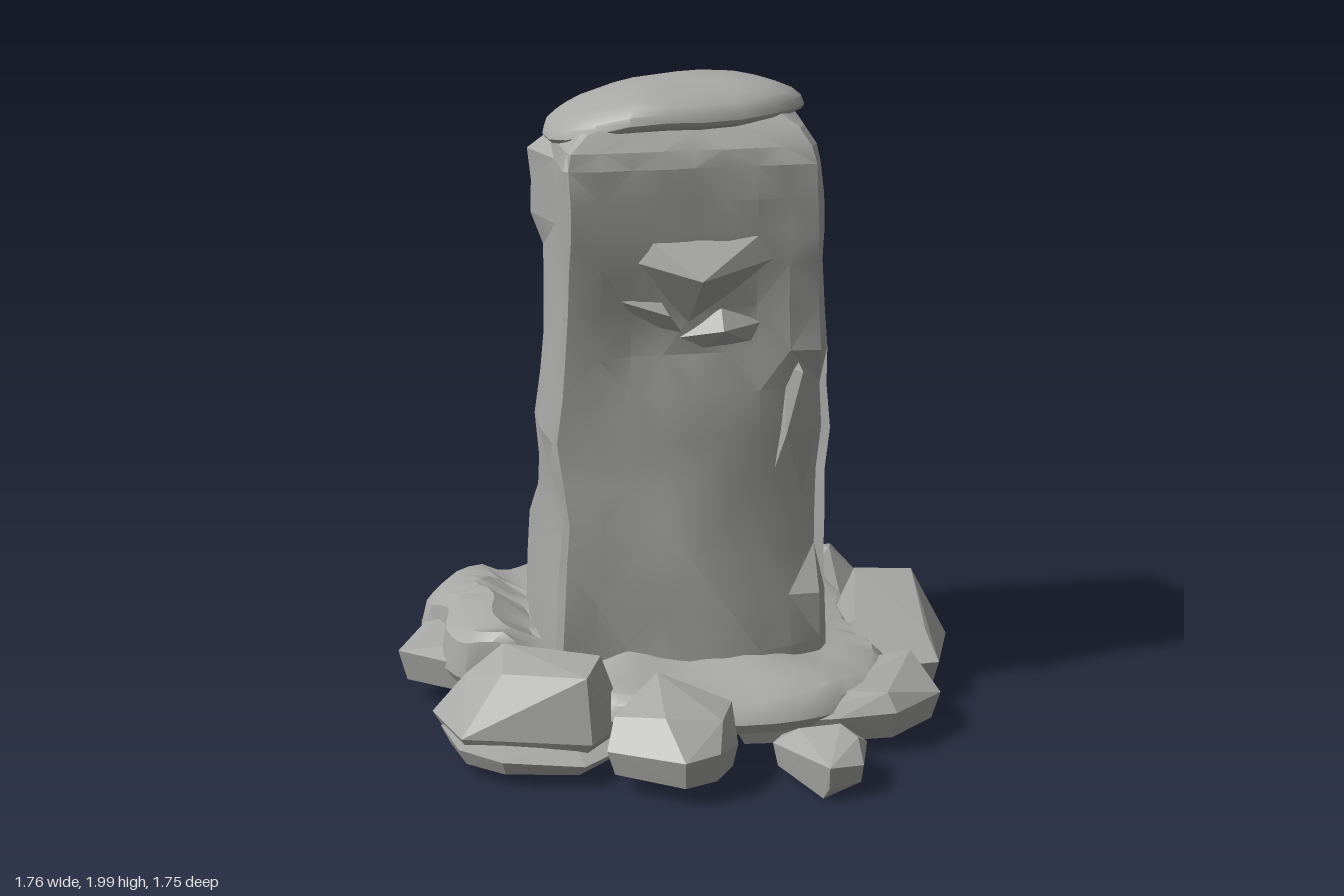
import * as THREE from 'three';
import { toCreasedNormals } from 'three/addons/utils/BufferGeometryUtils.js';
import { ConvexGeometry } from 'three/addons/geometries/ConvexGeometry.js';

const stone = new THREE.MeshStandardMaterial({ color: 0xa8a8a6 });
stone.name = 'grey stone';

// repeatable noise in -1..1
const noise = (a, b) => {
  const s = Math.sin(a * 127.1 + b * 311.7) * 43758.5453;
  return (s - Math.floor(s)) * 2 - 1;
};
const V = (x, y, z) => new THREE.Vector3(x, y, z);

function addMesh(group, name, geometry) {
  const mesh = new THREE.Mesh(geometry, stone);
  mesh.name = name;
  group.add(mesh);
}

// closed skin over rings of points that run front, right, back, left
function loft(rings, crease) {
  const n = rings[0].length, pos = [], idx = [];
  rings.flat().forEach((p) => pos.push(p.x, p.y, p.z));
  const centre = (ring) => {
    const c = V(0, 0, 0);
    ring.forEach((p) => c.add(p));
    c.divideScalar(n);
    pos.push(c.x, c.y, c.z);
    return pos.length / 3 - 1;
  };
  const last = (rings.length - 1) * n;
  const bottom = centre(rings[0]), top = centre(rings[rings.length - 1]);
  for (let j = 0; j < n; j++) {
    const k = (j + 1) % n;
    for (let i = 0; i < last; i += n) {
      const a = i + j, b = i + k, c = b + n, d = a + n;
      if ((i / n + j) % 2) idx.push(a, b, c, a, c, d);
      else idx.push(a, b, d, b, c, d);
    }
    idx.push(bottom, k, j, top, last + j, last + k);
  }
  const g = new THREE.BufferGeometry();
  g.setAttribute('position', new THREE.Float32BufferAttribute(pos, 3));
  g.setIndex(idx);
  return toCreasedNormals(g, crease);
}

// rough-hewn column: height, left x, right x, front z, back z
function pillarGeometry() {
  const levels = [
    [0.12, -0.46, 0.46, 0.25, -0.29], [0.27, -0.455, 0.455, 0.25, -0.29],
    [0.42, -0.445, 0.45, 0.25, -0.285], [0.56, -0.435, 0.445, 0.245, -0.275],
    [0.68, -0.425, 0.445, 0.24, -0.27], [0.8, -0.415, 0.45, 0.235, -0.265],
    [0.94, -0.435, 0.465, 0.235, -0.265], [1.08, -0.415, 0.455, 0.235, -0.265],
    [1.2, -0.405, 0.445, 0.235, -0.255], [1.34, -0.395, 0.435, 0.24, -0.245],
    [1.48, -0.39, 0.43, 0.25, -0.265], [1.58, -0.385, 0.425, 0.26, -0.29],
    [1.68, -0.385, 0.42, 0.265, -0.285], [1.78, -0.39, 0.415, 0.265, -0.28],
    [1.83, -0.38, 0.4, 0.25, -0.25], [1.88, -0.32, 0.365, 0.215, -0.21], [1.92, -0.2, 0.3, 0.17, -0.17],
  ];
  const across = [-0.97, -0.72, -0.48, -0.24, 0, 0.24, 0.48, 0.72, 0.95], along = [0.86, 0.3, -0.3, -0.92];
  const outline = [
    ...across.map((u) => [u, 1]), ...along.map((v) => [1, v]),
    ...across.map((u) => [-u, -1]), ...along.map((v) => [-1, -v]),
  ];
  const rings = levels.map(([y, xl, xr, zf, zb], i) => outline.map(([u, v], j) => {
    let x = (xl + xr) / 2 + u * (xr - xl) / 2;
    let z = (zf + zb) / 2 + v * (zf - zb) / 2;
    const rough = 0.007 * noise(i + 1, j + 3);
    // edges drawn in unevenly: front left most at the foot, back edges most at the top
    if (v > 0) x *= u < 0 && y < 0.7 ? 1 - 0.11 * v : 1 - 0.05 * v;
    if (v < -0.8) x *= u > 0 ? (y > 0.6 ? 0.9 : 0.94) : (y > 0.6 ? 0.94 : 1);
    if (v === 1) {
      // buttress swelling out at the foot, and the chipped front right edge
      const ridge = THREE.MathUtils.clamp(0.2 - 0.55 * (y - 0.25), -0.02, 0.2);
      const side = (x - ridge) / (x > ridge ? 0.2 : 0.4);
      z += Math.max(0, 1 - side * side) * Math.max(0, 0.085 - 0.11 * Math.max(0, y - 0.35));
      if (u > 0.6 && y > 0.5 && y < 1.15) z -= u > 0.8 ? 0.06 : 0.02;
      // hollow under the ledge
      if (Math.abs(u) < 0.6 && y > 1.15 && y < 1.45) z -= 0.02;
      z += rough;
    } else if (v === -1) {
      // scoop out of the back, rising to a peak
      const s = 1 - Math.abs(x / 0.37) ** 1.6 - Math.abs((y - 1.05) / 0.62) ** 2;
      z += 0.1 * Math.min(1, 1.5 * Math.max(0, s)) + rough * 0.5;
    } else x += rough;
    // shoulder bulging from the left side, towards the back
    if (u === -1 && v === -0.3 && y > 1.55 && y < 1.8) x -= 0.045;
    return V(x, y, z);
  }));
  return loft(rings, 0.3);
}

// spread of smooth rubble around the foot
function moundGeometry() {
  const outline = [
    [-0.58, 0.21], [-0.46, 0.32], [-0.34, 0.48], [-0.12, 0.57], [0.2, 0.61], [0.42, 0.55], [0.58, 0.4],
    [0.64, 0.22], [0.58, 0.02], [0.61, -0.3], [0.5, -0.46], [0.2, -0.56], [0.02, -0.69], [-0.15, -0.73],
    [-0.3, -0.69], [-0.36, -0.54], [-0.52, -0.44], [-0.68, -0.43], [-0.79, -0.32], [-0.73, -0.15], [-0.75, 0], [-0.69, 0.14],
  ];
  const curve = new THREE.CatmullRomCurve3(outline.map(([x, z]) => V(x, 0, z)), true);
  const points = curve.getPoints(66).slice(0, 66);
  const rings = [[0.5, 0.12], [0.86, 0.1], [0.97, 0.12], [1, 0.155], [0.975, 0.19], [0.92, 0.215], [0.78, 0.225],
    [0.63, 0.24], [0.48, 0.265]].map(([s, y], i) => points.map((p, j) => {
    const swell = 0.01 * Math.sin(j * 0.75 + i * 0.5) + 0.003 * noise(i, j);
    // higher at the back and left
    const rise = 0.1 * THREE.MathUtils.smoothstep(Math.max(-p.x * s - 0.12, -p.z * s), 0.3, 0.47)
      * (1 - 0.5 * THREE.MathUtils.smoothstep(Math.max(-p.x * s - 0.12, -p.z * s), 0.5, 0.72));
    return V(p.x * s, y + (i > 3 ? swell + rise : 0), p.z * s);
  }));
  return loft(rings, 0.6);
}

// lopsided domed cap stone
function capGeometry() {
  const g = new THREE.SphereGeometry(1, 22, 12);
  const p = g.attributes.position;
  const square = (t, e) => Math.sign(t) * Math.abs(t) ** e;
  for (let i = 0; i < p.count; i++) {
    const x = p.getX(i), y = p.getY(i), z = p.getZ(i);
    const a = Math.atan2(z, x), r = Math.hypot(x, z);
    // fatten the rim and square off the plan slightly
    const grow = (r > 1e-4 ? r ** 0.7 / r : 1) * (1 + 0.03 * Math.sin(2 * a) ** 2);
    const px = x * grow, pz = z * grow;
    const droop = px < -0.3 ? 0.07 * (px + 0.3) : px > 0.6 ? -0.05 * (px - 0.6) : 0;
    p.setXYZ(i, -0.01 + 0.395 * px,
      1.912 + 0.02 * px + droop + (y > 0 ? 0.082 : 0.045) * square(y, 0.9) + 0.007 * Math.sin(4 * a) * r,
      0.012 + 0.243 * pz);
  }
  g.deleteAttribute('uv');
  g.deleteAttribute('normal');
  return toCreasedNormals(g, 0.6);
}

// faceted boulder: footprint [x, z], base height, waist height, top points [x, y, z]
function rockGeometry(foot, low, waist, top) {
  const c = foot.reduce((s, [x, z]) => [s[0] + x / foot.length, s[1] + z / foot.length], [0, 0]);
  const pts = top.map((t) => V(...t));
  foot.forEach(([x, z], i) => {
    pts.push(V(x, waist + 0.015 * noise(i, x), z));
    pts.push(V(c[0] + (x - c[0]) * 0.9, low, c[1] + (z - c[1]) * 0.9));
  });
  return new ConvexGeometry(pts);
}

export function createModel() {
  const model = new THREE.Group();
  model.name = 'stonePillar';
  addMesh(model, 'pillar', pillarGeometry());
  addMesh(model, 'capStone', capGeometry());
  addMesh(model, 'rubbleMound', moundGeometry());

  // broken ledges and chips standing out of the column
  const chips = {
    frontLedge: [[-0.17, 1.5, 0.24], [0.28, 1.5, 0.24], [0.02, 1.46, 0.355], [0, 1.3, 0.22],
      [-0.12, 1.565, 0.25], [0.21, 1.57, 0.25], [0, 1.45, 0.18]],
    leftBrow: [[-0.25, 1.39, 0.22], [-0.02, 1.27, 0.22], [-0.06, 1.33, 0.25], [-0.1, 1.27, 0.2], [-0.1, 1.4, 0.2]],
    smallLedge: [[-0.05, 1.25, 0.21], [0.23, 1.29, 0.21], [0.1, 1.28, 0.265], [0.04, 1.21, 0.21],
      [0.2, 1.23, 0.21], [0.1, 1.34, 0.22]],
    frontChip: [[0.24, 0.72, 0.2], [0.3, 1.14, 0.2], [0.35, 1.13, 0.23], [0.3, 0.94, 0.24],
      [0.4, 0.94, 0.21], [0.36, 0.72, 0.2], [0.33, 1.18, 0.2]],
    backShard: [[0.06, 1.84, -0.22], [0.12, 1.84, -0.22], [0.09, 1.8, -0.25], [0.08, 1.85, -0.31]],
  };
  for (const [name, pts] of Object.entries(chips)) {
    addMesh(model, name, new ConvexGeometry(pts.map((p) => V(...p))));
  }

  // fallen boulders around the base
  const rocks = {
    frontLeftRock: [[[-0.8, 0.29], [-0.62, 0.19], [-0.4, 0.25], [-0.23, 0.46], [-0.35, 0.6], [-0.73, 0.5]], 0.08, 0.12,
      [[-0.58, 0.33, 0.28], [-0.3, 0.33, 0.42], [-0.36, 0.32, 0.56], [-0.6, 0.3, 0.44], [-0.7, 0.25, 0.31]]],
    frontLeftSlab: [[[-0.78, 0.35], [-0.35, 0.15], [-0.2, 0.5], [-0.38, 0.66], [-0.62, 0.62], [-0.74, 0.52]], 0.05, 0.09,
      [[-0.6, 0.11, 0.5], [-0.4, 0.11, 0.5]]],
    frontRock: [[[-0.32, 0.7], [-0.22, 0.45], [0.08, 0.52], [0.07, 0.7], [0, 0.8], [-0.11, 0.84]], 0.07, 0.15,
      [[-0.14, 0.3, 0.5], [-0.29, 0.23, 0.64], [-0.15, 0.25, 0.72], [0.02, 0.23, 0.72], [0.07, 0.23, 0.59]]],
    frontPebble: [[[0.18, 0.67], [0.22, 0.61], [0.41, 0.6], [0.46, 0.7], [0.42, 0.83], [0.31, 0.87]], 0.05, 0.11,
      [[0.26, 0.16, 0.66], [0.38, 0.18, 0.69], [0.42, 0.16, 0.75], [0.3, 0.01, 0.83], [0.42, 0.04, 0.8]]],
    frontRightRock: [[[0.08, 0.55], [0.25, 0.2], [0.64, 0.2], [0.72, 0.24], [0.75, 0.45], [0.58, 0.58], [0.4, 0.58]], 0.06, 0.14,
      [[0.4, 0.2, 0.5], [0.58, 0.2, 0.42], [0.7, 0.21, 0.26], [0.56, 0.2, 0.54]]],
    rightRock: [[[0.52, -0.1], [0.6, -0.31], [0.8, -0.32], [0.88, 0.02], [0.8, 0.24], [0.55, 0.25]], 0.07, 0.16,
      [[0.6, 0.35, -0.1], [0.79, 0.335, -0.1], [0.56, 0.25, 0.1], [0.78, 0.22, 0.14], [0.62, 0.26, -0.24]]],
    backRightRock: [[[0.25, -0.4], [0.43, -0.7], [0.67, -0.73], [0.74, -0.46], [0.61, -0.32], [0.4, -0.28]], 0.07, 0.14,
      [[0.5, 0.27, -0.5], [0.6, 0.28, -0.47], [0.42, 0.22, -0.64], [0.65, 0.21, -0.67]]],
    backRock: [[[-0.36, -0.5], [-0.27, -0.74], [-0.05, -0.88], [0.19, -0.88], [0.36, -0.55], [0, -0.3]], 0.07, 0.12,
      [[-0.2, 0.25, -0.5], [0.1, 0.26, -0.5], [0.18, 0.29, -0.67], [-0.24, 0.27, -0.69], [0, 0.29, -0.73]]],
    backLeftRock: [[[-0.66, -0.53], [-0.42, -0.4], [-0.4, -0.2], [-0.79, -0.32]], 0.1, 0.17,
      [[-0.63, 0.25, -0.44], [-0.72, 0.24, -0.3], [-0.52, 0.25, -0.38]]],
    leftRock: [[[-0.88, -0.06], [-0.78, -0.28], [-0.4, -0.2], [-0.45, 0.15], [-0.62, 0.13]], 0.08, 0.17,
      [[-0.74, 0.22, -0.2], [-0.66, 0.21, 0]]],
    // slabs hidden beneath the mound
    underSlabRight: [[[-0.1, 0.3], [0.3, 0.25], [0.6, 0.05], [0.45, -0.25], [0.2, -0.3], [-0.08, -0.1]], 0.08, 0.11, [[0.2, 0.15, 0]]],
    underSlabLeft: [[[-0.45, 0.25], [-0.08, 0.35], [0, 0], [-0.1, -0.35], [-0.4, -0.3]], 0.07, 0.11, [[-0.2, 0.15, 0]]],
  };
  for (const [name, spec] of Object.entries(rocks)) addMesh(model, name, rockGeometry(...spec));
  return model;
}
